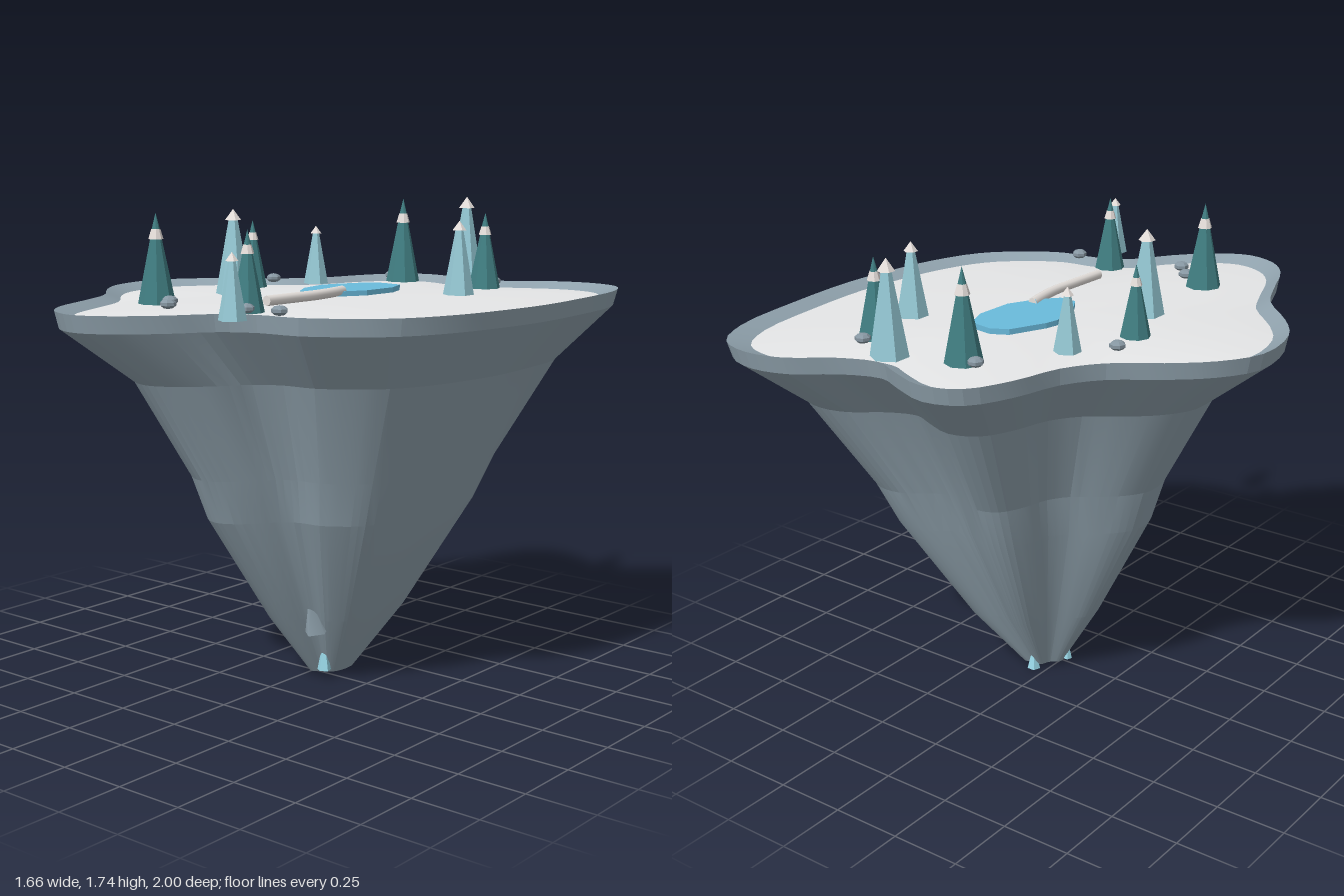
import * as THREE from 'three';
import { toCreasedNormals } from 'three/addons/utils/BufferGeometryUtils.js';

const mat = (name, color, flatShading = true) =>
  Object.assign(new THREE.MeshStandardMaterial({ color, flatShading }), { name });

// Coastline as x, z pairs, counterclockwise from above
const COAST = [
  [0.83, -0.21], [0.815, -0.50], [0.772, -0.80], [0.685, -0.955], [0.55, -1.0], [0.41, -0.97], [0.27, -0.87],
  [0.13, -0.82], [0.03, -0.86], [-0.12, -0.91], [-0.25, -0.86], [-0.33, -0.71], [-0.38, -0.53],
  [-0.47, -0.40], [-0.62, -0.29], [-0.75, -0.17], [-0.83, -0.02], [-0.80, 0.20], [-0.71, 0.34],
  [-0.56, 0.50], [-0.485, 0.66], [-0.40, 0.86], [-0.31, 0.96], [-0.19, 1.0], [-0.07, 0.95],
  [0.06, 0.82], [0.15, 0.69], [0.27, 0.62], [0.43, 0.60], [0.58, 0.51], [0.69, 0.40], [0.77, 0.21], [0.81, 0],
];
const SEGMENTS = 99;

// Skin between scaled copies of the coastline; each ring is [scale, y, shiftX, shiftZ]
function loft(rings, crease) {
  const curve = new THREE.CatmullRomCurve3(COAST.map(([x, z]) => new THREE.Vector3(x, 0, z)), true);
  const outline = Array.from({ length: SEGMENTS }, (_, i) => curve.getPoint(i / SEGMENTS));
  const positions = [], index = [];
  for (const [s, y, dx = 0, dz = 0] of rings)
    for (const p of outline) positions.push(p.x * s + dx, y, p.z * s + dz);
  for (let r = 0; r < rings.length - 1; r++)
    for (let i = 0; i < SEGMENTS; i++) {
      const j = (i + 1) % SEGMENTS;
      const a = r * SEGMENTS + i, b = r * SEGMENTS + j, c = b + SEGMENTS, d = a + SEGMENTS;
      if (rings[r][0] > 0) index.push(a, b, d);
      if (rings[r + 1][0] > 0) index.push(b, c, d);
    }
  const g = new THREE.BufferGeometry();
  g.setAttribute('position', new THREE.Float32BufferAttribute(positions, 3));
  g.setIndex(index);
  return toCreasedNormals(g, crease);
}

export function createModel() {
  const model = new THREE.Group();
  model.name = 'floatingIsland';

  const cliff = mat('cliffRock', 0x90a2ad, false);
  const snow = mat('snowGround', 0xe6e7e8, false);
  const water = mat('pondWater', 0x6abbdc);
  const ice = mat('streamIce', 0xe4dfdb, false);
  const pine = mat('darkPine', 0x417f83);
  const frost = mat('frostedPine', 0x98ccd8);
  const cap = mat('snowCap', 0xebe4e0);
  const stone = mat('stone', 0x8797a2);
  const crystal = mat('crystal', 0x9ad8e8);

  const add = (parent, name, geometry, material, x = 0, y = 0, z = 0) => {
    const m = new THREE.Mesh(geometry, material);
    m.name = name;
    m.position.set(x, y, z);
    parent.add(m);
    return m;
  };

  // Tapering, banded rock body with a raised lip around the plateau
  add(model, 'cliff', loft([
    [0, 0.008, 0.045, -0.03], [0.08, 0.015, 0.045, -0.03], [0.25, 0.25, 0.05, -0.02],
    [0.485, 0.65, 0.055, 0], [0.55, 0.81, 0.06, 0], [0.755, 1.16, 0.05, 0],
    [0.985, 1.35], [1, 1.41], [0.932, 1.385],
  ], 0.14), cliff);
  add(model, 'plateau', loft([[0.932, 1.385], [0.75, 1.398], [0.4, 1.405], [0, 1.408]], 0.5), snow);

  // Pond: thin irregular slab
  const pondPoints = [
    [-0.09, -0.21], [-0.03, -0.34], [0.03, -0.37], [0.12, -0.355], [0.16, -0.26], [0.155, -0.11],
    [0.10, 0], [0.045, 0.06], [-0.02, 0.055], [-0.075, -0.035], [-0.10, -0.16],
  ].map(([x, z]) => new THREE.Vector2(x, -z));
  const pondGeometry = new THREE.ExtrudeGeometry(new THREE.Shape(pondPoints), { depth: 0.02, bevelEnabled: false });
  add(model, 'pond', pondGeometry.rotateX(-Math.PI / 2), water, 0, 1.405, 0);

  // Frozen stream running from the pond
  const path = new THREE.CatmullRomCurve3([
    [0.09, 1.425, -0.05], [0.105, 1.425, 0.02], [0.118, 1.425, 0.12], [0.115, 1.425, 0.25], [0.11, 1.425, 0.385],
  ].map((p) => new THREE.Vector3(...p)));
  add(model, 'stream', new THREE.TubeGeometry(path, 20, 0.018, 8), ice);
  for (const [t, turn] of [[0, Math.PI], [1, 0]]) {
    const end = add(model, 'streamEnd', new THREE.CircleGeometry(0.018, 8), ice);
    end.position.copy(path.getPoint(t));
    end.rotation.y = turn;
  }

  // Trees: x, z, base radius, height
  const GROUND = 1.405;
  const tree = (name, [x, z, r, h], build) => {
    const g = new THREE.Group();
    g.name = name;
    g.position.set(x, GROUND, z);
    build(g, r, h);
    model.add(g);
  };
  const tier = (g, name, top, bottom, y0, y1, sides, material) =>
    add(g, name, new THREE.CylinderGeometry(top, bottom, y1 - y0, sides), material, 0, (y0 + y1) / 2, 0);

  for (const t of [[-0.085, -0.65, 0.065, 0.32], [0.317, -0.62, 0.06, 0.28], [-0.38, -0.10, 0.053, 0.25],
    [-0.25, 0.545, 0.065, 0.31], [0.172, 0.55, 0.056, 0.27]])
    tree('darkPineTree', t, (g, r, h) => {
      tier(g, 'foliage', r * 0.3, r, 0, h * 0.72, 8, pine);
      tier(g, 'snowBand', r * 0.24, r * 0.4, h * 0.71, h * 0.82, 8, cap);
      tier(g, 'treeTip', 0, r * 0.24, h * 0.8, h, 8, pine);
    });

  for (const t of [[0.148, -0.745, 0.066, 0.33], [0.38, -0.36, 0.056, 0.265], [-0.29, -0.365, 0.047, 0.22],
    [-0.27, 0.13, 0.066, 0.305], [0.285, 0.75, 0.047, 0.215]])
    tree('frostedTree', t, (g, r, h) => {
      tier(g, 'foliage', r * 0.25, r, 0, h * 0.88, 6, frost);
      tier(g, 'snowTip', 0, r * 0.45, h * 0.87, h, 6, cap);
    });

  // Small boulders
  const boulder = new THREE.SphereGeometry(0.029, 7, 5).scale(1, 0.6, 1);
  [[-0.15, -0.67], [0.305, -0.7], [-0.42, -0.265], [-0.15, 0.585], [-0.08, 0.665], [0.21, 0.60], [0.335, 0.58]]
    .forEach(([x, z], i) => { add(model, 'boulder', boulder, stone, x, 1.425, z).rotation.y = i; });

  // Rock spur leaning out of the lower cliff
  const spur = add(model, 'rockSpur', new THREE.CylinderGeometry(0.015, 0.05, 0.13, 5), cliff, 0.105, 0.265, 0.13);
  spur.rotation.x = 0.3;

  // Crystals around the lower tip
  for (const [x, y, z, r, h] of [[0.09, 0.065, 0.05, 0.026, 0.065], [-0.035, 0.045, -0.01, 0.018, 0.04],
    [0.05, 0.025, -0.11, 0.025, 0.05]])
    add(model, 'tipCrystal', new THREE.CylinderGeometry(r * 0.5, r, h, 5), crystal, x, y, z);

  return model;
}
